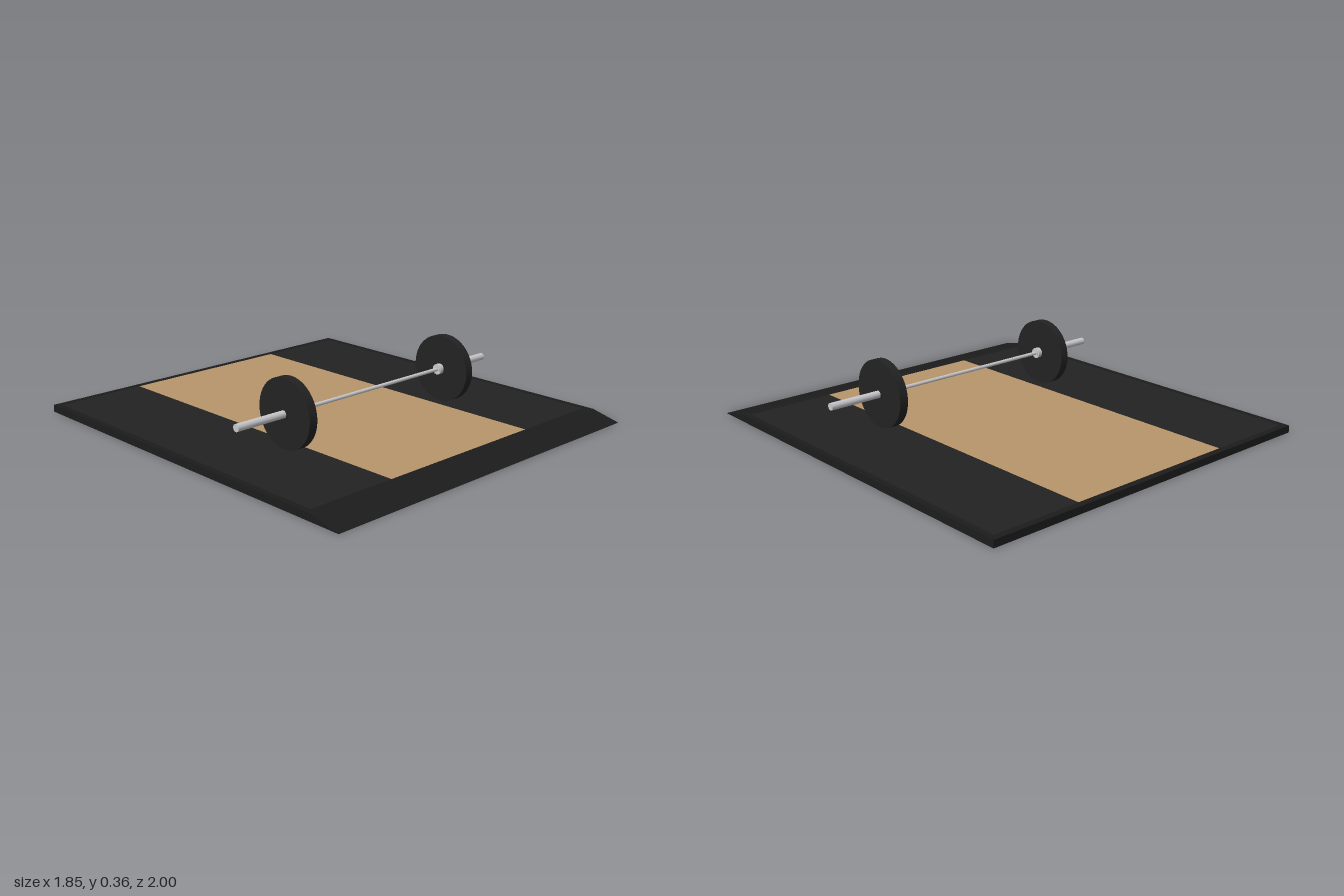
import * as THREE from 'three';

const frameMat = new THREE.MeshStandardMaterial({ name: 'frameBlack', color: 0x1c1c1c });
const rubberMat = new THREE.MeshStandardMaterial({ name: 'rubberBlack', color: 0x222222 });
const woodMat = new THREE.MeshStandardMaterial({ name: 'wood', color: 0xb8956a });
const steelMat = new THREE.MeshStandardMaterial({ name: 'steel', color: 0xc8c8cc });

const W = 0.925, H = 0.035;          // platform half width and height
const INNER = 0.895;                 // inside of the side rails
const BACK = -0.967, FRONT = 0.815;  // inside of the back rail and ramp
const BAR_Y = 0.2, BAR_Z = 0.255;

// Box given by its minimum and maximum corners
function box(name, mat, [x0, y0, z0], [x1, y1, z1]) {
  const mesh = new THREE.Mesh(new THREE.BoxGeometry(x1 - x0, y1 - y0, z1 - z0), mat);
  mesh.position.set((x0 + x1) / 2, (y0 + y1) / 2, (z0 + z1) / 2);
  mesh.name = name;
  return mesh;
}

// Cylinder lying along x between two positions
function rod(name, mat, radius, x0, x1, sides = 24) {
  const geo = new THREE.CylinderGeometry(radius, radius, Math.abs(x1 - x0), sides).rotateZ(Math.PI / 2);
  const mesh = new THREE.Mesh(geo, mat);
  mesh.position.x = (x0 + x1) / 2;
  mesh.name = name;
  return mesh;
}

function createPlatform() {
  const g = new THREE.Group();
  g.name = 'platform';

  // Plywood base, with the lifting surface and rubber mats on top
  g.add(box('baseBoard', woodMat, [-INNER, 0, BACK], [INNER, 0.018, FRONT]));
  g.add(box('liftingSurface', woodMat, [-0.445, 0.018, BACK], [0.445, H, FRONT]));
  for (const s of [-1, 1]) {
    const [m0, m1] = s > 0 ? [0.445, INNER] : [-INNER, -0.445];
    const [r0, r1] = s > 0 ? [INNER, W] : [-W, -INNER];
    g.add(box('rubberMat', rubberMat, [m0, 0.018, BACK], [m1, H, FRONT]));
    g.add(box('sideRail', frameMat, [r0, 0, -1], [r1, H, FRONT]));
  }
  g.add(box('backRail', frameMat, [-INNER, 0, -1], [INNER, H, BACK]));

  // Front beam sloping down to the floor, drawn from the side
  const profile = new THREE.Shape();
  profile.moveTo(-FRONT, 0);
  profile.lineTo(-FRONT, H);
  profile.lineTo(-0.855, H);
  profile.lineTo(-1, 0);
  profile.closePath();
  const rampGeo = new THREE.ExtrudeGeometry(profile, { depth: 2 * W, bevelEnabled: false });
  rampGeo.translate(0, 0, -W).rotateY(Math.PI / 2);
  const ramp = new THREE.Mesh(rampGeo, frameMat);
  ramp.name = 'frontRamp';
  g.add(ramp);
  return g;
}

function createBarbell() {
  const g = new THREE.Group();
  g.name = 'barbell';
  g.position.set(0, BAR_Y, BAR_Z);
  g.add(rod('shaft', steelMat, 0.0088, -0.47, 0.47, 16));
  for (const s of [-1, 1]) {
    g.add(rod('sleeve', steelMat, 0.0178, s * 0.46, s * 0.802));
    g.add(rod('collar', steelMat, 0.026, s * 0.462, s * 0.484));
    g.add(rod('weightPlate', rubberMat, 0.164, s * 0.489, s * 0.533, 48));
    g.add(rod('plateHub', rubberMat, 0.025, s * 0.486, s * 0.536));
  }
  return g;
}

export function createModel() {
  const model = new THREE.Group();
  model.name = 'liftingPlatform';
  model.add(createPlatform(), createBarbell());
  return model;
}
